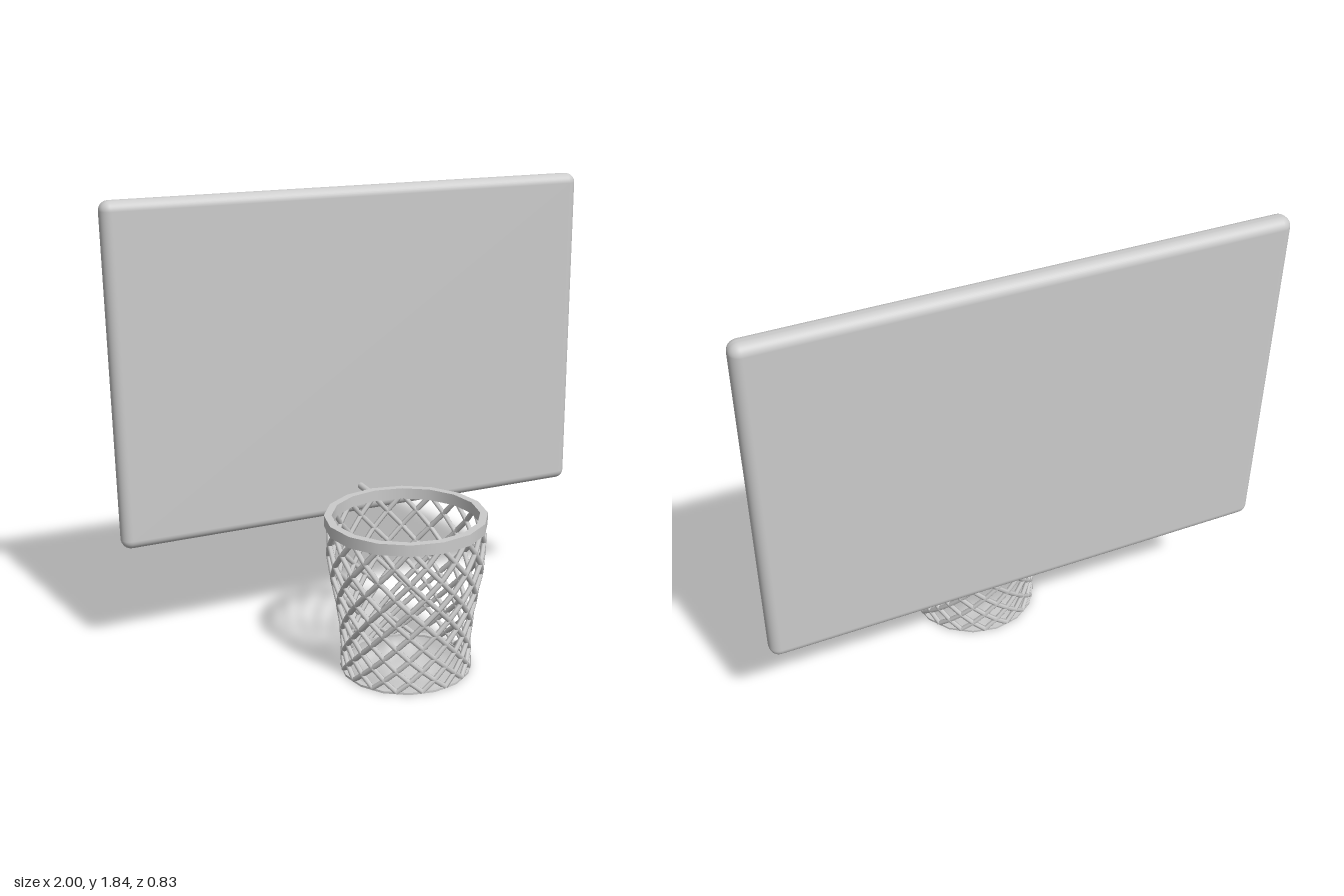
import * as THREE from 'three';
import { RoundedBoxGeometry } from 'three/addons/geometries/RoundedBoxGeometry.js';
import { mergeGeometries } from 'three/addons/utils/BufferGeometryUtils.js';

const SIDES = 16;
const HOOP_Z = 0.095;

export function createModel() {
  const group = new THREE.Group();
  const material = new THREE.MeshStandardMaterial({ color: 0xcccccc });

  const add = (name, geometry, x, y, z) => {
    const mesh = new THREE.Mesh(geometry, material);
    mesh.name = name;
    mesh.position.set(x, y, z);
    group.add(mesh);
    return mesh;
  };

  // Flat band with a rectangular section, turned around y
  const band = (inner, outer, y0, y1) => {
    const corners = [[inner, y0], [outer, y0], [outer, y1], [inner, y1], [inner, y0]];
    const sides = corners.slice(1).map((c, i) => new THREE.LatheGeometry(
      [new THREE.Vector2(...corners[i]), new THREE.Vector2(...c)], SIDES));
    return mergeGeometries(sides);
  };

  // Backboard with rounded edges
  add('backboard', new RoundedBoxGeometry(2, 1.345, 0.085, 5, 0.038), 0, 1.1675, -0.3775);

  // Arm from the board to the rim
  const arm = add('rimArm', new THREE.CylinderGeometry(0.014, 0.014, 0.15, 12), 0, 0.614, -0.275);
  arm.rotation.x = Math.PI / 2;

  // Rim
  add('rim', band(0.287, 0.317, 0.595, 0.64), 0, 0, HOOP_Z);

  // Net: crossing levels get closer together towards the bottom
  const ROWS = 11;
  const profile = new THREE.CatmullRomCurve3([
    [0.3, 0.61], [0.303, 0.5], [0.292, 0.4], [0.27, 0.29], [0.256, 0.19], [0.251, 0.1], [0.252, 0.006],
  ].map(([r, y]) => new THREE.Vector3(r, y, 0)));
  const samples = profile.getPoints(120);
  const levels = [];
  for (let i = 0; i <= ROWS; i++) {
    const t = i / ROWS;
    const y = 0.61 - 0.604 * (1.28 * t - 0.28 * t * t);
    const p = samples.reduce((a, b) => (Math.abs(b.y - y) < Math.abs(a.y - y) ? b : a));
    levels.push({ r: p.x, y });
  }

  // One strand spirals down through every level, in either direction
  const strand = (start, direction) => {
    const path = new THREE.CurvePath();
    const points = levels.map(({ r, y }, i) => {
      const a = ((start + direction * i * 0.5) / SIDES) * Math.PI * 2;
      return new THREE.Vector3(r * Math.sin(a), y, r * Math.cos(a));
    });
    for (let i = 0; i < ROWS; i++) path.add(new THREE.LineCurve3(points[i], points[i + 1]));
    return new THREE.TubeGeometry(path, ROWS * 3, 0.0105, 6, false);
  };
  const strands = [];
  for (let i = 0; i < SIDES; i++) strands.push(strand(i, 1), strand(i, -1));
  add('net', mergeGeometries(strands), 0, 0, HOOP_Z);

  // Thin hem closing the bottom of the net
  add('netHem', band(0.243, 0.262, 0, 0.009), 0, 0, HOOP_Z);

  return group;
}
